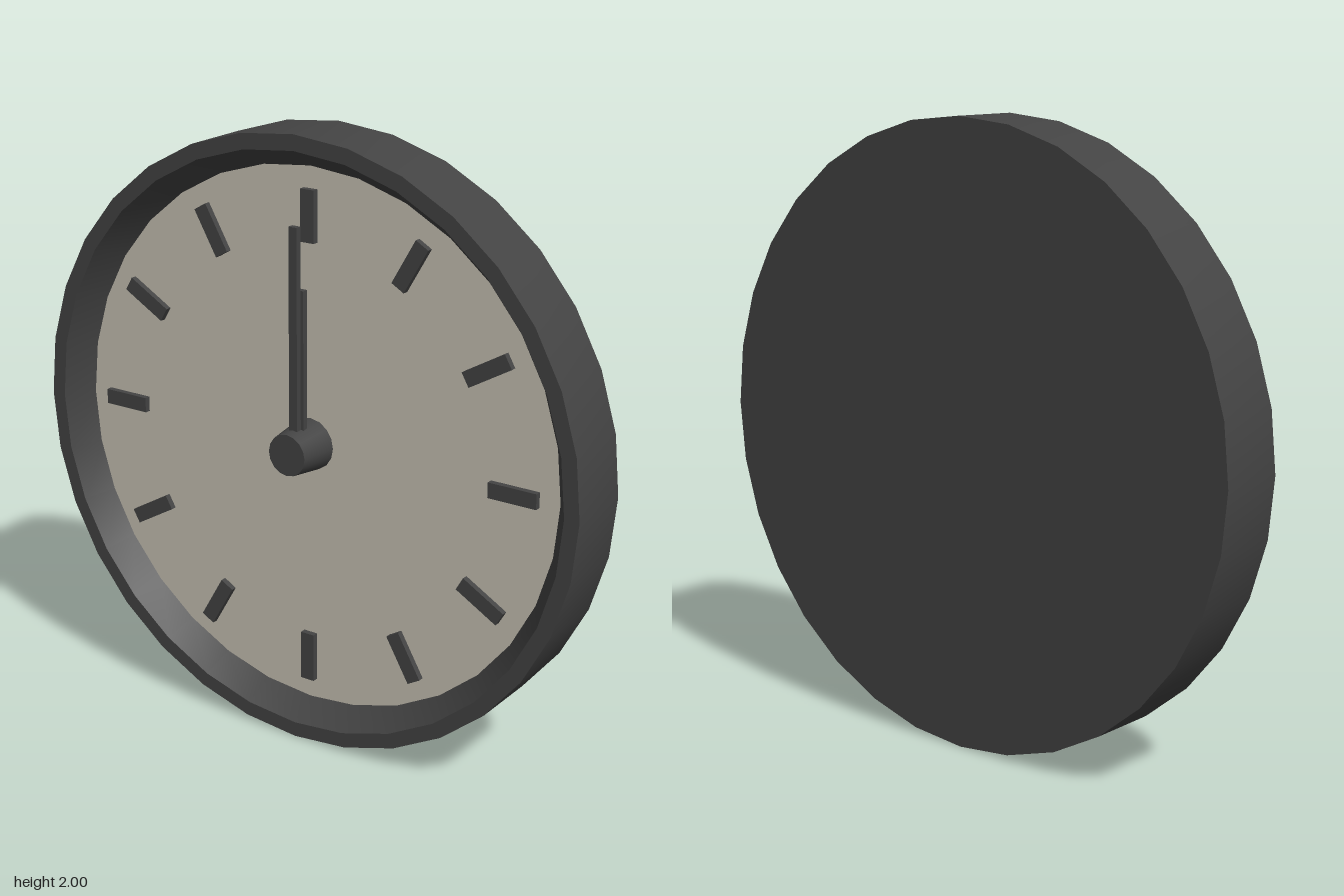
import * as THREE from 'three';
import { toCreasedNormals } from 'three/addons/utils/BufferGeometryUtils.js';

const DIAL_Z = 0.01;
const SIDES = 32;

export function createModel() {
  const clock = new THREE.Group();
  clock.name = 'wallClock';

  const dark = new THREE.MeshStandardMaterial({ color: 0x444444 });
  const cream = new THREE.MeshStandardMaterial({ color: 0xc8c3b5 });

  const add = (name, geometry, material, parent = clock) => {
    const mesh = new THREE.Mesh(geometry, material);
    mesh.name = name;
    parent.add(mesh);
    return mesh;
  };

  // Closed back, outer wall, front rim and tapered inner wall
  const profile = [[0, -0.14], [1, -0.14], [1, 0.1], [0.95, 0.1], [0.89, DIAL_Z]]
    .map(([r, z]) => new THREE.Vector2(r, z));
  const caseGeometry = new THREE.LatheGeometry(profile, SIDES).rotateX(Math.PI / 2);
  add('case', toCreasedNormals(caseGeometry, 0.5), dark);

  // Recessed dial
  add('dial', new THREE.CircleGeometry(0.89, SIDES), cream).position.z = DIAL_Z;

  // Twelve hour markers
  const markers = new THREE.Group();
  markers.name = 'hourMarkers';
  clock.add(markers);
  for (let i = 0; i < 12; i++) {
    const geometry = new THREE.BoxGeometry(0.05, 0.165, 0.03).translate(0, 0.738, 0.015);
    add('hourMarker', geometry, dark, markers).rotation.z = -i * Math.PI / 6;
  }

  // Hands, both pointing to twelve
  const addHand = (name, width, length, z, thickness) => {
    const geometry = new THREE.BoxGeometry(width, length, thickness);
    add(name, geometry, dark).position.set(0, length / 2, z);
  };
  addHand('hourHand', 0.05, 0.52, 0.075, 0.02);
  addHand('minuteHand', 0.03, 0.72, 0.095, 0.02);

  // Tapered centre hub
  const hub = new THREE.CylinderGeometry(0.068, 0.085, 0.13, 16).rotateX(Math.PI / 2);
  add('hub', hub, dark).position.z = 0.075;

  clock.position.y = 1;
  const model = new THREE.Group();
  model.add(clock);
  return model;
}
